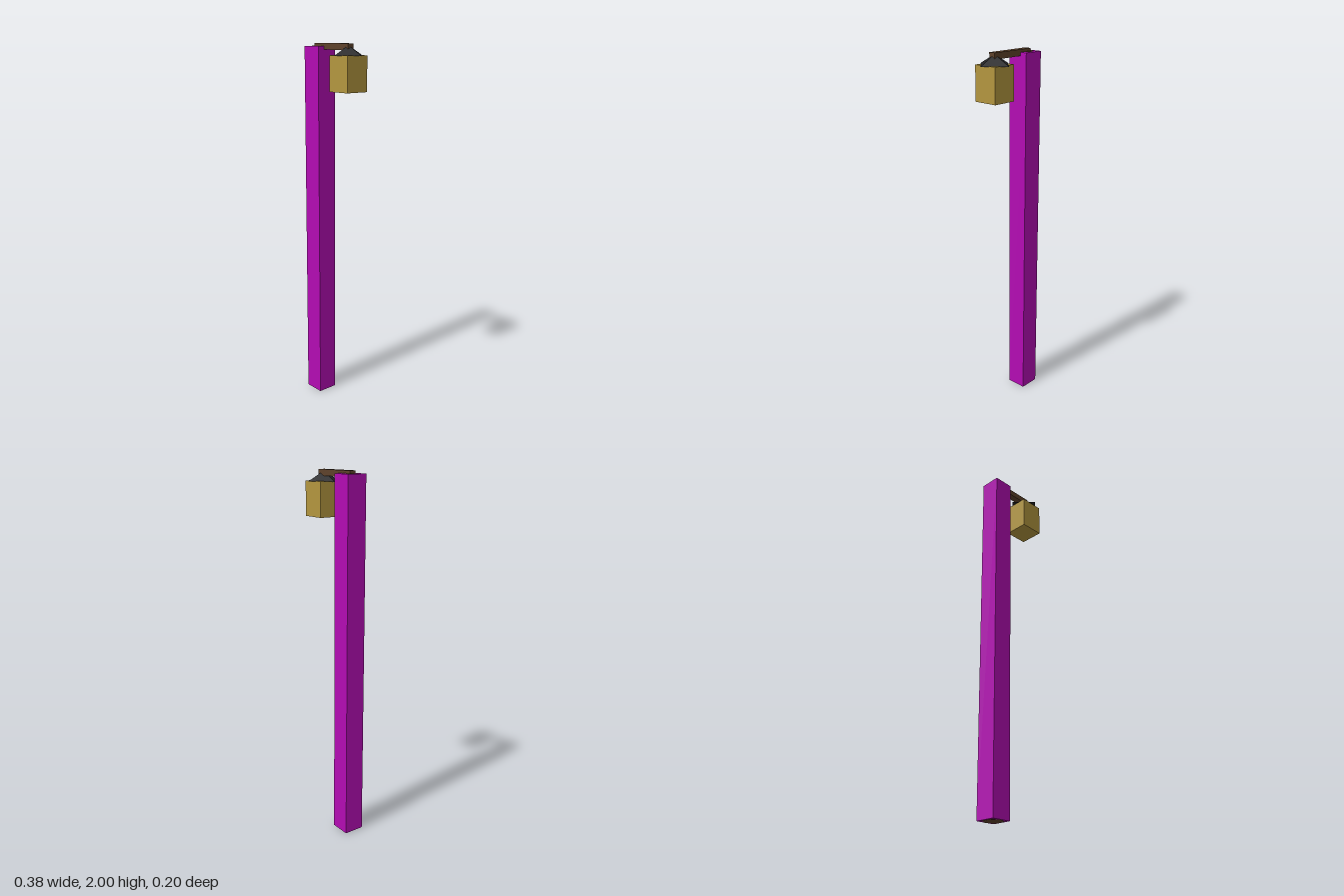
import * as THREE from 'three';

const material = (color) => new THREE.MeshStandardMaterial({ color, flatShading: true });

export function createModel() {
  const model = new THREE.Group();
  const wood = material(0x5e422b);

  const add = (name, geometry, mat, x, y) => {
    const mesh = new THREE.Mesh(geometry, mat);
    mesh.name = name;
    mesh.position.set(x, y, 0);
    model.add(mesh);
  };

  const postX = -0.136, lampX = 0.093;

  // Square casing around a tapered hexagonal pole whose ends lie flush with it
  add('postCasing', new THREE.BoxGeometry(0.114, 1.984, 0.114), material(0xb30cb3), postX, 0.993);
  add('pole', new THREE.CylinderGeometry(0.045, 0.057, 1.986, 6), wood, postX, 0.993);

  // Arm reaching out over the lantern
  add('arm', new THREE.BoxGeometry(0.267, 0.033, 0.037), wood, -0.0225, 1.9835);

  // Lantern with a four-sided roof turned corner-on to the box
  add('lantern', new THREE.BoxGeometry(0.136, 0.184, 0.136), material(0xb3963f), lampX, 1.849);
  add('lanternRoof', new THREE.ConeGeometry(0.098, 0.052, 4), material(0x242426), lampX, 1.965);

  return model;
}
